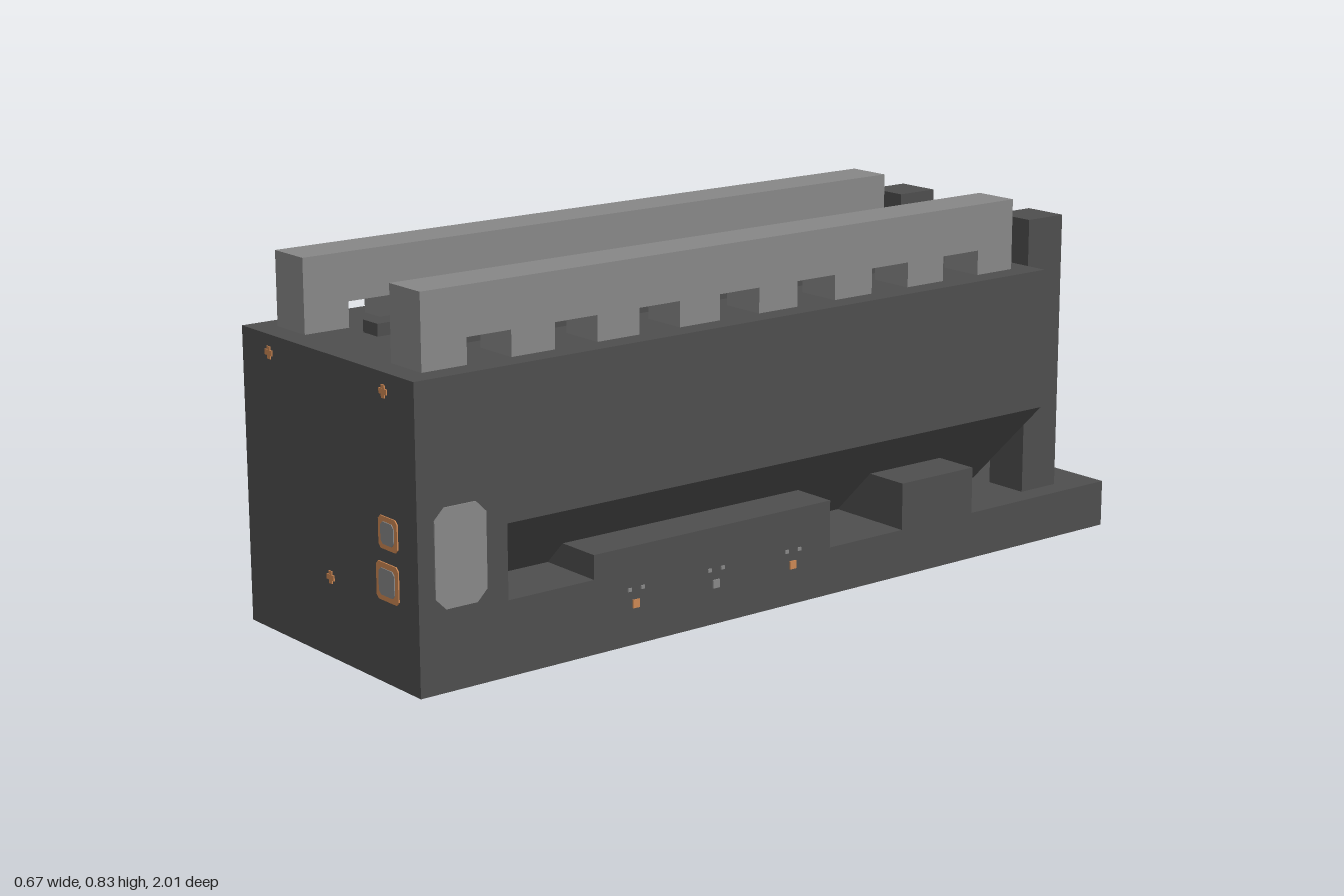
import * as THREE from 'three';

const material = (name, color) => {
  const m = new THREE.MeshStandardMaterial({ color });
  m.name = name;
  return m;
};

export function createModel() {
  const dark = material('darkGrey', 0x4e4e4e);
  const light = material('lightGrey', 0x878787);
  const orange = material('orange', 0xcc8753);
  const model = new THREE.Group();

  const add = (name, geometry, mat, parent = model) => {
    const mesh = new THREE.Mesh(geometry, mat);
    mesh.name = name;
    parent.add(mesh);
    return mesh;
  };
  // Box given by its limits on each axis
  const box = (name, mat, [x0, x1], [y0, y1], [z0, z1], parent) => {
    const mesh = add(name, new THREE.BoxGeometry(x1 - x0, y1 - y0, z1 - z0), mat, parent);
    mesh.position.set((x0 + x1) / 2, (y0 + y1) / 2, (z0 + z1) / 2);
    return mesh;
  };
  const polygon = (points) => new THREE.Shape(points.map(([x, y]) => new THREE.Vector2(x, y)));
  // Plate with cut corners
  const chamfered = (w, h, c) => polygon([
    [-w + c, -h], [w - c, -h], [w, -h + c], [w, h - c],
    [w - c, h], [-w + c, h], [-w, h - c], [-w, -h + c],
  ]);
  const plate = (shape, depth) => new THREE.ExtrudeGeometry(shape, { depth, bevelEnabled: false });

  // Base and front block
  box('base', dark, [-0.333, 0.333], [0, 0.111], [-1, 1]);
  box('frontBlock', dark, [-0.333, 0.333], [0.111, 0.667], [0.778, 1]);

  // Main body with undercut sides
  const section = polygon([
    [-0.111, 0.111], [0.111, 0.111], [0.333, 0.333],
    [0.333, 0.667], [-0.333, 0.667], [-0.333, 0.333],
  ]);
  add('body', plate(section, 1.556), dark).position.z = -0.778;

  // Stepped blocks in the +x undercut, light bar in the other
  for (const [z0, z1, top] of [[0.556, 0.778, 0.167], [-0.111, 0.556, 0.222], [-0.556, -0.333, 0.222]]) {
    box('sideStep', dark, [0.1, 0.333], [0.111, top], [z0, z1]);
  }
  box('sideBar', light, [-0.278, -0.167], [0.111, 0.222], [-0.722, 0.778]);

  // Top rails with a row of through slots
  const railShape = polygon([[-0.722, 0.725], [0.944, 0.725], [0.944, 0.834], [-0.722, 0.834]]);
  for (const side of [-1, 1]) {
    const rail = new THREE.Group();
    rail.name = 'topRail';
    model.add(rail);
    const xs = [side * 0.2225 - 0.0555, side * 0.2225 + 0.0555];
    const upper = add('railTop', plate(railShape, 0.111), light, rail);
    upper.rotation.y = -Math.PI / 2;
    upper.position.x = xs[1];
    let start = -0.722;
    for (let i = 0; i < 8; i++) {
      const gap = -0.556 + i * 0.2222;
      const end = i < 7 ? gap - 0.0555 : 0.944;
      box('railFoot', light, xs, [0.667, 0.725], [start, end], rail);
      start = gap + 0.0555;
    }
    // Low strips along the lamp row
    box('lampStrip', dark, [side * 0.083 - 0.028, side * 0.083 + 0.028], [0.667, 0.695], [-0.667, 0.833]);
  }

  // Lamp blocks with round lamps on top
  for (let i = -3; i <= 3; i++) {
    const z = i * 0.2222;
    box('lampBlock', dark, [-0.055, 0.055], [0.667, 0.722], [z - 0.0555, z + 0.0555]);
    const lamp = add('topLamp', new THREE.CylinderGeometry(0.03, 0.03, 0.006, 12), orange);
    lamp.position.set(0, 0.723, z);
  }

  // Rear frame
  const rearZ = [-0.889, -0.778];
  for (const side of [-1, 1]) {
    box('rearPost', dark, [side * 0.2225 - 0.0555, side * 0.2225 + 0.0555], [0.111, 0.778], rearZ);
  }
  box('rearTopBar', dark, [-0.167, 0.167], [0.611, 0.722], rearZ);
  box('rearLowerBar', dark, [-0.167, 0.167], [0.222, 0.333], rearZ);

  // Rear connector box on two legs
  box('connectorBox', dark, [-0.333, -0.111], [0.222, 0.444], [-1, -0.889]);
  for (const x of [-0.285, -0.16]) {
    box('connectorLeg', dark, [x - 0.026, x + 0.026], [0.111, 0.222], [-0.97, -0.918]);
  }
  // Socket outline on the connector box
  const socketZ = [-1.003, -0.998];
  box('socketEdge', light, [-0.27, -0.18], [0.37, 0.388], socketZ);
  box('socketEdge', light, [-0.27, -0.18], [0.285, 0.303], socketZ);
  box('socketSide', light, [-0.278, -0.262], [0.303, 0.37], socketZ);
  box('socketPin', light, [-0.226, -0.216], [0.332, 0.342], socketZ);

  // Long badges near the front on both sides
  for (const side of [-1, 1]) {
    const badge = add('sideBadge', plate(chamfered(0.064, 0.108, 0.025), 0.004), light);
    badge.rotation.y = side * Math.PI / 2;
    badge.position.set(side * 0.332, 0.288, 0.896);
  }

  // Small marks on the +x side of the base
  const markX = [0.331, 0.336];
  for (const z of [0, 0.222, 0.444]) {
    box('sideMark', z === 0.222 ? light : orange, markX, [0.083, 0.102], [z - 0.009, z + 0.009]);
    for (const d of [-0.018, 0.018]) {
      box('sideTick', light, markX, [0.122, 0.13], [z + d - 0.005, z + d + 0.005]);
    }
  }

  // Front crosses
  for (const [x, y] of [[-0.222, 0.627], [0.222, 0.627], [0, 0.18]]) {
    box('frontCross', orange, [x - 0.014, x + 0.014], [y - 0.006, y + 0.006], [0.998, 1.003]);
    box('frontCross', orange, [x - 0.006, x + 0.006], [y - 0.014, y + 0.014], [0.998, 1.0025]);
  }

  // Front buttons: orange rim, grey centre
  for (const [x, y, r, inner] of [[0.228, 0.328, 0.035, 0.024], [0.222, 0.222, 0.041, 0.029]]) {
    add('buttonRim', plate(chamfered(r, r, 0.008), 0.004), orange).position.set(x, y, 0.999);
    add('buttonCentre', plate(chamfered(inner, inner, 0.008), 0.004), light).position.set(x, y, 1.001);
  }
  return model;
}
